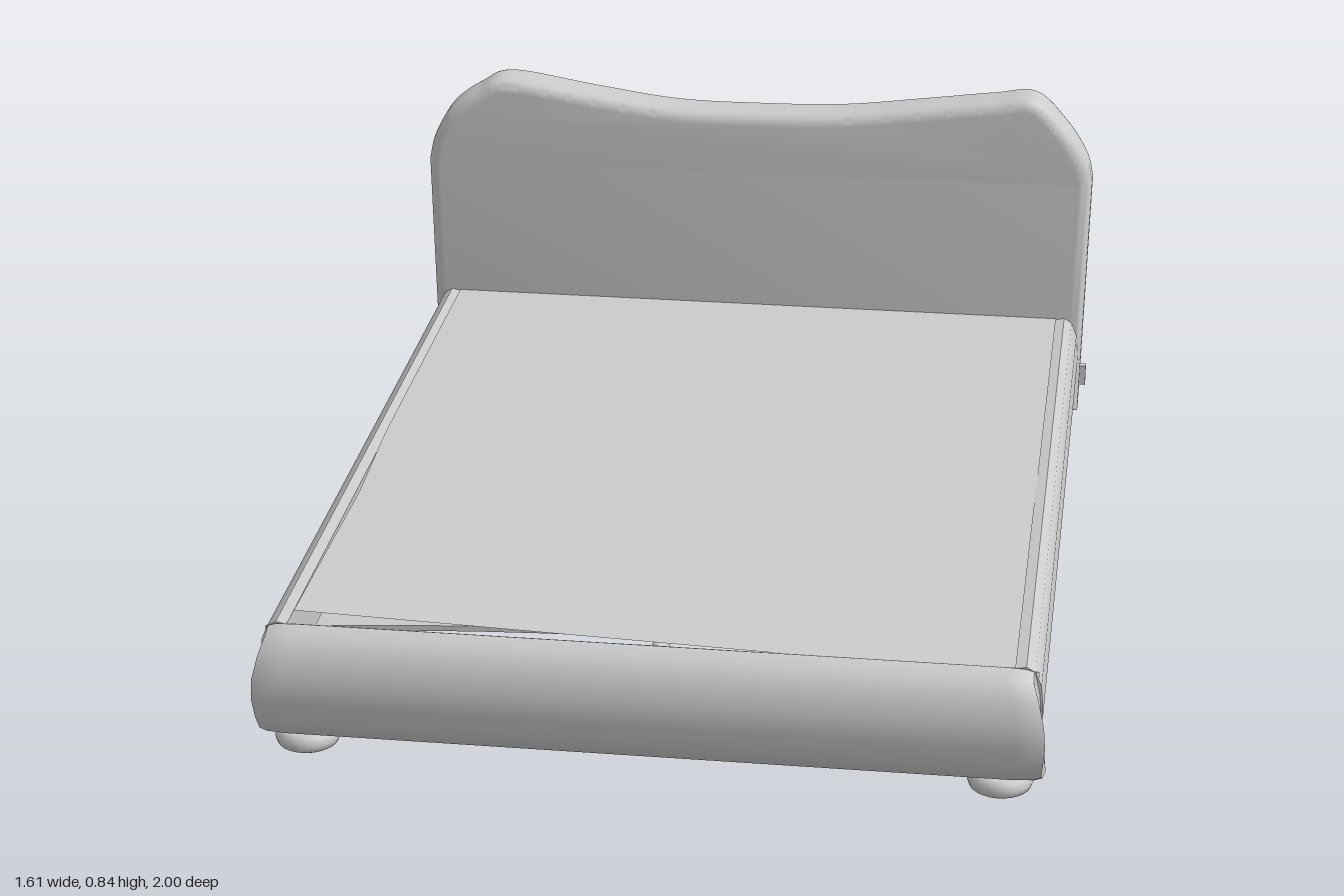
import * as THREE from 'three';
import { toCreasedNormals } from 'three/addons/utils/BufferGeometryUtils.js';

const grey = new THREE.MeshStandardMaterial({ color: 0xcccccc, side: THREE.DoubleSide });

function part(name, geometry, parent) {
  const mesh = new THREE.Mesh(geometry, grey);
  mesh.name = name;
  parent.add(mesh);
  return mesh;
}

// Skin a row of closed rings and cap both ends
function loft(rings, crease = 0.7) {
  const pos = [], idx = [], n = rings[0].length;
  rings.forEach(r => r.forEach(p => pos.push(...p)));
  for (let i = 0; i < rings.length - 1; i++) {
    for (let j = 0; j < n; j++) {
      const a = i * n + j, b = i * n + (j + 1) % n;
      idx.push(a, b, a + n, b, b + n, a + n);
    }
  }
  [0, rings.length - 1].forEach((i, end) => {
    const c = pos.length / 3;
    pos.push(...[0, 1, 2].map(k => rings[i].reduce((s, p) => s + p[k], 0) / n));
    for (let j = 0; j < n; j++) {
      const a = i * n + j, b = i * n + (j + 1) % n;
      if (end) idx.push(c, a, b); else idx.push(c, b, a);
    }
  });
  const g = new THREE.BufferGeometry();
  g.setAttribute('position', new THREE.Float32BufferAttribute(pos, 3));
  g.setIndex(idx);
  return toCreasedNormals(g, crease);
}

export function createModel() {
  const bed = new THREE.Group();
  bed.name = 'bed';

  // Headboard: two humps with a shallow dip, softly rounded rim
  const outline = new THREE.Shape();
  outline.moveTo(-0.79, 0.04);
  outline.lineTo(0.79, 0.04);
  outline.lineTo(0.802, 0.63);
  outline.splineThru([[0.785, 0.69], [0.735, 0.765], [0.66, 0.833], [0.56, 0.825], [0.4, 0.804],
    [0.2, 0.78], [0, 0.774], [-0.2, 0.777], [-0.4, 0.803], [-0.6, 0.832], [-0.68, 0.8],
    [-0.745, 0.75], [-0.785, 0.68], [-0.8, 0.62]].map(p => new THREE.Vector2(...p)));
  outline.closePath();
  const head = new THREE.ExtrudeGeometry(outline, {
    depth: 0.053, bevelThickness: 0.03, bevelSize: 0.03, bevelOffset: -0.03, bevelSegments: 5, curveSegments: 48
  });
  head.translate(0, 0, -0.963);
  part('headboard', toCreasedNormals(head, 0.7), bed);

  // Small tab at the foot of the headboard
  part('headboardTab', new THREE.BoxGeometry(0.02, 0.05, 0.015), bed).position.set(0.795, 0.1, -0.99);

  // Footboard: bulging front, slanted ends widest below the middle
  const footProfile = [[0.29, 0.935], [0.278, 0.962], [0.24, 0.985], [0.19, 0.998], [0.14, 0.995],
    [0.09, 0.982], [0.055, 0.962], [0.04, 0.935], [0.045, 0.915], [0.28, 0.915]];
  const endX = (y, z) => 0.81 - 1.6 * Math.max(0, y - 0.16) ** 1.8 - 0.2 * Math.max(0, 0.12 - y) - 0.2 * (z - 0.915);
  const footRings = [[-1, 0.9], [-0.98, 0.97], [-0.93, 1], [0.93, 1], [0.98, 0.97], [1, 0.9]];
  part('footboard', loft(footRings.map(([u, s]) => footProfile.map(([y, z]) =>
    [u * endX(y, z), 0.16 + (y - 0.16) * (0.4 + 0.6 * s), 0.915 + (z - 0.915) * s]))), bed);

  // Side rails: rounded outer face, bottom edge sagging a little along its length
  const railProfile = [[0.735, 0], [0.765, 0.02], [0.78, 0.2], [0.786, 0.5], [0.781, 0.8],
    [0.768, 0.95], [0.75, 1], [0.728, 0.98]];
  for (const [side, name, sag] of [[1, 'leftRail', 0.005], [-1, 'rightRail', 0.028]]) {
    const rings = [];
    for (let i = 0; i <= 12; i++) {
      const t = i / 12, z = -0.89 + t * 1.82;
      const bottom = 0.06 + 0.025 * t - sag * Math.min(1, 1.5 * Math.sin(Math.PI * t));
      const ring = railProfile.map(([x, h]) => [side * x, bottom + h * (0.29 - bottom), z]);
      rings.push(side > 0 ? ring : ring.reverse());
    }
    part(name, loft(rings), bed);
  }

  // Platform sheet: twists toward the foot and narrows along its right edge
  const deck = new THREE.PlaneGeometry(1.46, 1.8, 12, 12);
  deck.rotateX(-Math.PI / 2);
  deck.translate(0, 0, 0.015);
  const p = deck.attributes.position;
  for (let i = 0; i < p.count; i++) {
    const x = p.getX(i), forward = Math.max(0, p.getZ(i)) / 0.915;
    p.setY(i, 0.288 - 0.022 * forward * x / 0.73);
    if (x < 0) p.setX(i, x * (1 - 0.02 * Math.min(1, 3 * forward)));
  }
  deck.computeVertexNormals();
  part('platform', deck, bed);

  // Bowed cross slats
  const slats = new THREE.Group();
  slats.name = 'slats';
  bed.add(slats);
  const slat = new THREE.BoxGeometry(1.42, 0.012, 0.062, 12, 1, 1);
  const s = slat.attributes.position;
  for (let i = 0; i < s.count; i++) {
    s.setY(i, s.getY(i) + 0.03 * (1 - (s.getX(i) / 0.71) ** 2));
  }
  slat.computeVertexNormals();
  for (let i = 0; i < 15; i++) part('slat', slat, slats).position.set(0, 0.197, -0.74 + i * 0.114);

  // Ledges that carry the slat ends
  for (const x of [-0.69, 0.69]) {
    part('slatLedge', new THREE.BoxGeometry(0.025, 0.025, 1.6), bed).position.set(x, 0.18, 0.1);
  }

  // Centre beam and its tapered leg
  const beam = part('centreBeam', new THREE.CylinderGeometry(0.018, 0.018, 1.58, 12), bed);
  beam.rotation.x = Math.PI / 2;
  beam.position.set(0, 0.185, 0.11);
  part('centreLeg', new THREE.CylinderGeometry(0.018, 0.01, 0.185, 12), bed).position.set(0, 0.0925, 0.03);

  // Four bun feet with rounded rims
  const bun = new THREE.LatheGeometry([[0, 0], [0.052, 0], [0.062, 0.006], [0.067, 0.02], [0.062, 0.035],
    [0.052, 0.042], [0, 0.045]].map(q => new THREE.Vector2(...q)), 28);
  for (const x of [-0.705, 0.705]) {
    for (const z of [-0.87, 0.89]) part('foot', bun, bed).position.set(x, 0, z);
  }
  return bed;
}
